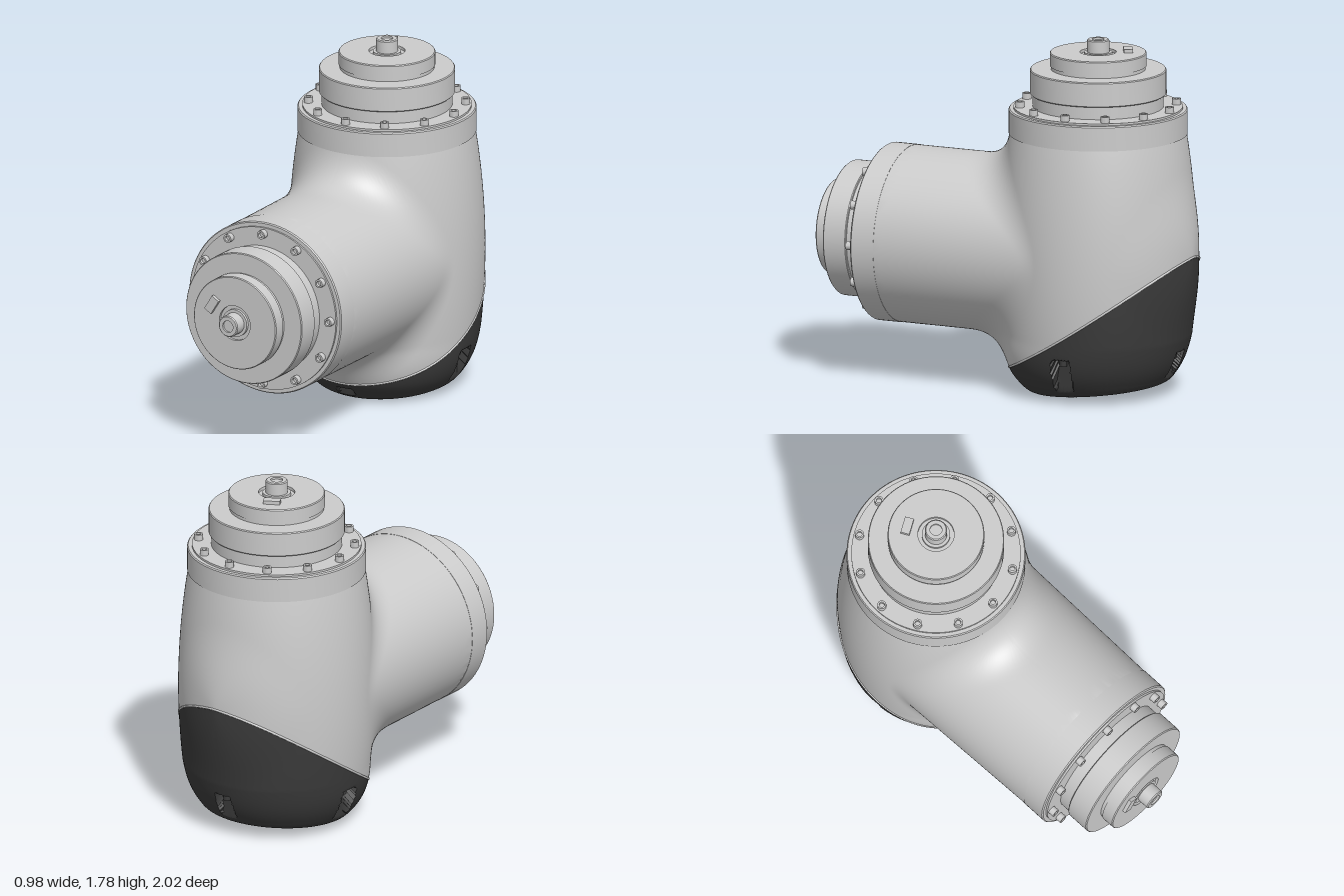
import * as THREE from 'three';
import { toCreasedNormals } from 'three/addons/utils/BufferGeometryUtils.js';

const grey = new THREE.MeshStandardMaterial({ color: 0xcccccc, side: THREE.DoubleSide });
const dark = new THREE.MeshStandardMaterial({ color: 0x3a3a3a, side: THREE.DoubleSide });

const AXIS_Z = -0.5;   // vertical column axis
const ARM_Y = 0.703;   // horizontal arm axis
const clamp = THREE.MathUtils.clamp;

// Column: round, slightly barrel shaped, tapering into the foot
function column(x, y, z) {
  const low = Math.max(0, 0.3 - y);
  const r = 0.488 - 0.13 * (y - 0.7) ** 2 - 0.11 * (low / 0.3) ** 3;
  const cz = AXIS_Z + 0.025 * Math.min(1, low / 0.2);
  return Math.hypot(x, z - cz) - r;
}

// Arm: cylinder along z, a little wider where it enters the column
function arm(x, y, z) {
  const wide = 1 + 0.05 * clamp(0.5 - z, 0, 1);
  return Math.hypot(x / wide, y - ARM_Y, Math.min(0, z - AXIS_Z)) - 0.4425;
}

// Four upright pockets around the foot (the front one is shorter)
function pockets(x, y, z) {
  const dz = z - AXIS_Z;
  const pocket = (side, out, top, floor) => Math.max(Math.abs(side) - 0.045, floor - out, y - top);
  return Math.min(
    pocket(dz, Math.abs(x), 0.24, 0.385),
    pocket(x, -dz, 0.24, 0.385),
    pocket(x, dz, 0.07, 0.37));
}

// Signed field of the whole housing: filleted union, flat ends, tilted base
function housing(x, y, z) {
  const a = arm(x, y, z), b = column(x, y, z);
  const la = Math.hypot(x, y - ARM_Y) + 1e-6, lb = Math.hypot(x, z - AXIS_Z) + 1e-6;
  const k = 0.2 * (1 - (x * x) / (la * lb)) + 1e-4;   // no fillet where the walls are tangent
  const h = Math.max(k - Math.abs(a - b), 0) / k;
  let f = Math.min(a, b) - h * h * k / 4;
  f = Math.max(f, y - 1.37, z - 0.58);
  const rim = THREE.MathUtils.smoothstep(Math.hypot(x, z + 0.5), 0.23, 0.25);
  const base = 0.093 * (-0.18 - z) + 0.014 * (1 - rim) - y;
  const s = Math.max(0.03 - Math.abs(f - base), 0) / 0.03;
  f = Math.max(f, base) + s * s * 0.03 / 4;
  return Math.max(f, -pockets(x, y, z));
}

// Height of the joint between shell and foot cover
const seamY = (z) => { const s = -z - 0.05; return 0.1 + 0.43 * s + 0.22 * s * s; };

// Point of the housing surface in polar directions about an axis through the foot
const centre = new THREE.Vector3(0, 0.7, AXIS_Z);
const pole = new THREE.Vector3(0, -0.84, -0.54).normalize();
const side = new THREE.Vector3(1, 0, 0);
const third = new THREE.Vector3().crossVectors(pole, side);
function surfacePoint(phi, theta) {
  const d = pole.clone().multiplyScalar(Math.cos(theta))
    .addScaledVector(side, Math.sin(theta) * Math.cos(phi))
    .addScaledVector(third, Math.sin(theta) * Math.sin(phi));
  let lo = 0.15, hi = 1.6;
  for (let i = 0; i < 22; i++) {
    const m = (lo + hi) / 2;
    if (housing(d.x * m, centre.y + d.y * m, centre.z + d.z * m) < 0) lo = m; else hi = m;
  }
  return d.multiplyScalar(lo).add(centre);
}
function seamAngle(phi) {
  let lo = 0.4, hi = 1.8;
  for (let i = 0; i < 20; i++) {
    const m = (lo + hi) / 2, p = surfacePoint(phi, m);
    if (p.y < seamY(p.z)) lo = m; else hi = m;
  }
  return (lo + hi) / 2;
}

const N = 240;
const phiAt = (j) => (j / N) * Math.PI * 2;

// Patch of the housing between two polar angles per meridian
function patch(from, to, rows) {
  const pos = [], index = [];
  for (let i = 0; i <= rows; i++) {
    for (let j = 0; j < N; j++) {
      const p = surfacePoint(phiAt(j), THREE.MathUtils.lerp(from(j), to(j), i / rows));
      pos.push(p.x, p.y, p.z);
    }
  }
  for (let i = 0; i < rows; i++) {
    for (let j = 0; j < N; j++) {
      const a = i * N + j, b = i * N + (j + 1) % N;
      index.push(a, a + N, b, b, a + N, b + N);
    }
  }
  const g = new THREE.BufferGeometry();
  g.setAttribute('position', new THREE.Float32BufferAttribute(pos, 3));
  g.setIndex(index);
  return toCreasedNormals(g, 0.6);
}

function add(parent, name, geometry, material = grey) {
  const m = new THREE.Mesh(geometry, material);
  m.name = name;
  parent.add(m);
  return m;
}

function lathe(points, segments) {
  const pts = points.map(([r, y]) => new THREE.Vector2(r, y));
  return toCreasedNormals(new THREE.LatheGeometry(pts, segments), 0.5);
}

// Output joint: flange, stepped hub, pin, bolts and key; its axis is local y
function makeJoint(name) {
  const g = new THREE.Group();
  g.name = name;
  add(g, 'flange', lathe([[0.38, 0], [0.444, 0], [0.444, 0.12], [0.439, 0.126], [0.42, 0.126],
    [0.42, 0.136], [0.3, 0.136]], 96));
  add(g, 'hub', lathe([[0.325, 0.12], [0.325, 0.2], [0.335, 0.2], [0.338, 0.204], [0.338, 0.32],
    [0.334, 0.325], [0.235, 0.325], [0.235, 0.342], [0.24, 0.342], [0.24, 0.405], [0.236, 0.41],
    [0.09, 0.41], [0.09, 0.395], [0.07, 0.395], [0.07, 0.41], [0, 0.41]], 96));
  add(g, 'pin', lathe([[0.055, 0.4], [0.055, 0.47], [0.05, 0.475], [0.03, 0.475], [0.03, 0.465],
    [0, 0.465]], 32));
  const bolt = lathe([[0.022, 0.12], [0.022, 0.166], [0.013, 0.166], [0.013, 0.15], [0, 0.15]], 16);
  for (let i = 0; i < 12; i++) {
    const t = (i / 12) * Math.PI * 2;
    add(g, 'bolt', bolt).position.set(0.39 * Math.cos(t), 0, 0.39 * Math.sin(t));
  }
  const t = -2.06;
  const key = add(g, 'key', new THREE.BoxGeometry(0.045, 0.03, 0.085));
  key.position.set(0.148 * Math.cos(t), 0.413, 0.148 * Math.sin(t));
  key.rotation.y = -t;
  return g;
}

export function createModel() {
  const model = new THREE.Group();
  model.name = 'elbowJoint';

  // Housing shell and dark foot cover, split along the slanted joint
  const seam = Array.from({ length: N }, (_, j) => seamAngle(phiAt(j)));
  add(model, 'housingShell', patch((j) => seam[j], () => Math.PI, 80));
  add(model, 'footCover', patch(() => 0, (j) => seam[j], 70), dark);

  // Thin lip along the joint
  const path = [];
  for (let j = 0; j < N; j += 4) path.push(surfacePoint(phiAt(j), seam[j]));
  add(model, 'shellLip', new THREE.TubeGeometry(new THREE.CatmullRomCurve3(path, true), 160, 0.006, 6, true));

  // Screws at the top of the side and back pockets
  for (const [x, z] of [[0.41, 0], [-0.41, 0], [0, -0.41]]) {
    add(model, 'pocketScrew', new THREE.CylinderGeometry(0.018, 0.018, 0.04, 16), dark)
      .position.set(x, 0.225, AXIS_Z + z);
  }

  // Top and front joints
  const top = makeJoint('topJoint');
  top.position.set(0, 1.31, AXIS_Z);
  const front = makeJoint('frontJoint');
  front.position.set(0, ARM_Y, 0.525);
  front.rotation.set(Math.PI / 2, Math.PI / 6, 0);
  model.add(top, front);
  return model;
}
